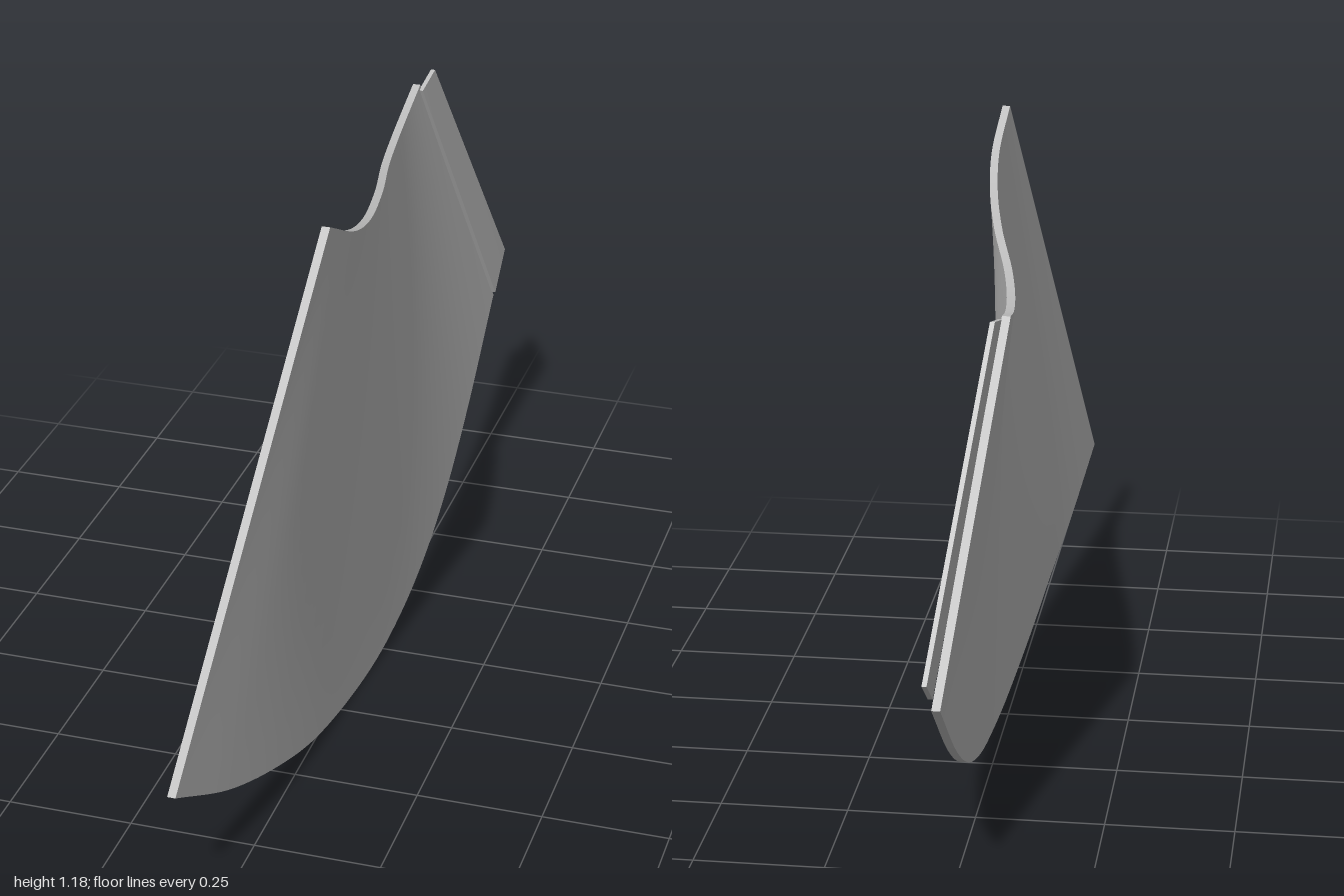
import * as THREE from 'three';

const curve = (pts) => new THREE.CatmullRomCurve3(pts.map((p) => new THREE.Vector3(...p)), false, 'centripetal');

// Curved plate ruled between an upper and a lower edge; both edges run from back to front.
function ruledPlate(name, upper, lower, thickness, segments, material) {
  const top = curve(upper);
  const bottom = curve(lower);
  const geometry = new THREE.BoxGeometry(1, 1, 1, 1, 16, segments);
  const pos = geometry.attributes.position;
  const p = new THREE.Vector3();
  for (let i = 0; i < pos.count; i++) {
    const u = THREE.MathUtils.clamp(pos.getZ(i) + 0.5, 0, 1);
    const v = pos.getY(i) + 0.5;
    p.lerpVectors(bottom.getPointAt(u), top.getPointAt(u), v);
    pos.setXYZ(i, p.x + pos.getX(i) * thickness, p.y, p.z);
  }
  geometry.computeVertexNormals();
  const mesh = new THREE.Mesh(geometry, material);
  mesh.name = name;
  return mesh;
}

export function createModel() {
  const group = new THREE.Group();
  group.name = 'curvedPanel';
  const grey = new THREE.MeshStandardMaterial({ color: 0xc0c0c0 });
  grey.name = 'light grey';

  // Main twisted fan-shaped sheet
  group.add(ruledPlate('sheet',
    [
      [-0.071, 1.036, -0.585], [-0.066, 1.02, -0.5], [-0.051, 1.01, -0.36], [-0.025, 1.016, -0.2],
      [0.02, 1.042, 0], [0.055, 1.073, 0.2], [0.07, 1.117, 0.35], [0.065, 1.18, 0.48],
    ],
    [
      [0.012, 0.405, -0.92], [0.015, 0.23, -0.7], [0.02, 0.117, -0.5], [0.024, 0.047, -0.3],
      [0.025, 0.012, -0.1], [0.021, 0.002, 0.1], [0.006, 0.03, 0.4], [-0.012, 0.082, 0.6],
      [-0.038, 0.155, 0.8], [-0.069, 0.26, 1],
    ],
    0.016, 64, grey));

  // Thin joining flange lapped onto the left face at the back edge
  group.add(ruledPlate('flange',
    [[-0.055, 1.045, -0.655], [-0.059, 1.027, -0.575]],
    [[0.02, 0.485, -1], [0.024, 0.42, -0.903]],
    0.009, 6, grey));

  return group;
}
